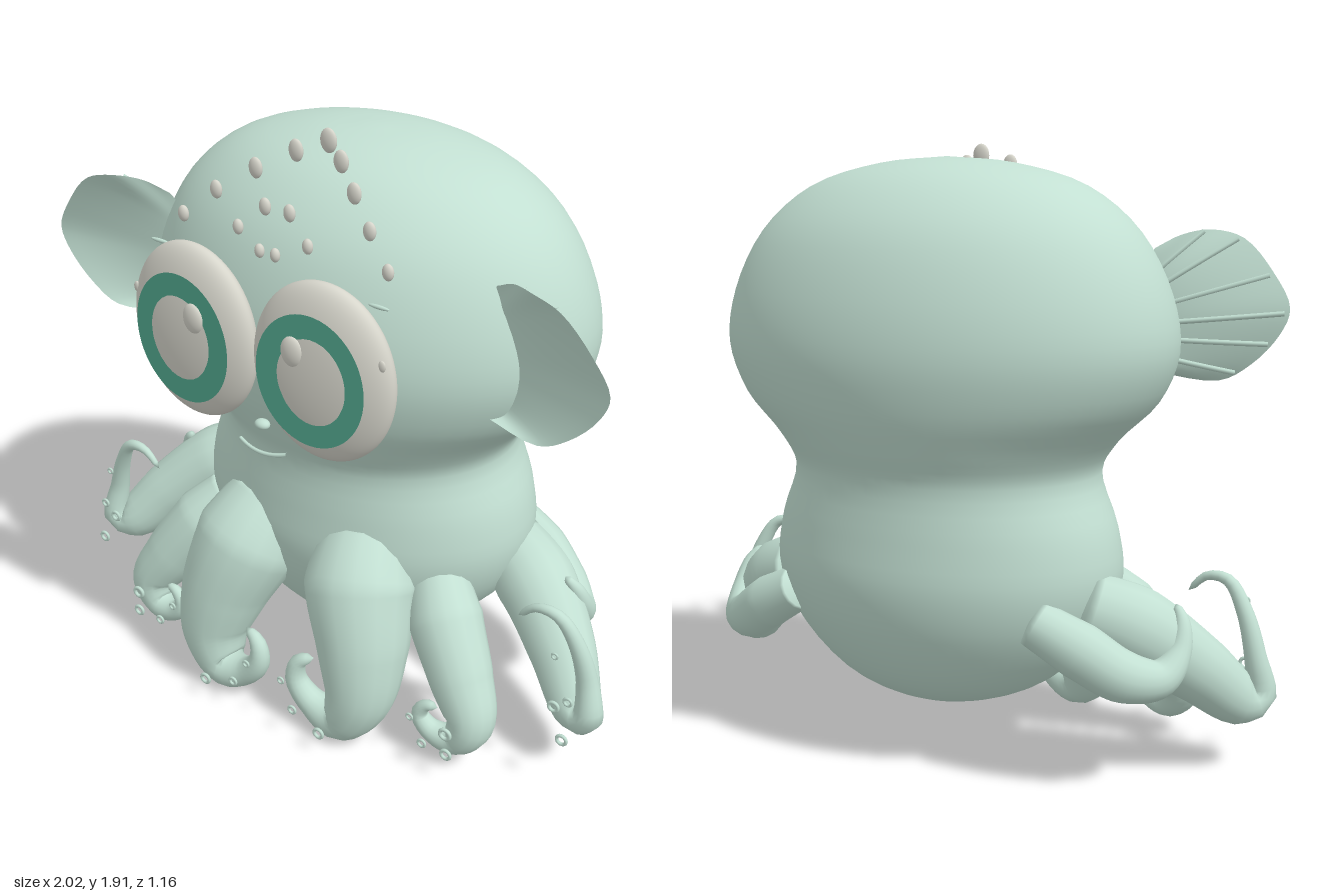
import * as THREE from 'three';
import { mergeVertices } from 'three/addons/utils/BufferGeometryUtils.js';

const skin = new THREE.MeshStandardMaterial({ color: 0xc2dfd2 });
skin.name = 'pale green skin';
const finSkin = new THREE.MeshStandardMaterial({ color: 0xc2dfd2, side: THREE.DoubleSide });
finSkin.name = 'pale green fin';
const pearl = new THREE.MeshStandardMaterial({ color: 0xd6d5cb });
pearl.name = 'warm grey';
const teal = new THREE.MeshStandardMaterial({ color: 0x52a68d });
teal.name = 'teal iris';

const V = (x, y, z) => new THREE.Vector3(x, y, z);
const CENTRE = -0.012; // mirror plane of the face and limbs

function add(parent, name, geometry, material, x = 0, y = 0, z = 0) {
  const mesh = new THREE.Mesh(geometry, material);
  mesh.name = name;
  mesh.position.set(x, y, z);
  parent.add(mesh);
  return mesh;
}

function ellipsoid(parent, name, material, pos, rx, ry, rz) {
  const mesh = add(parent, name, new THREE.SphereGeometry(1, 20, 14), material, ...pos);
  mesh.scale.set(rx, ry, rz);
  return mesh;
}

// Weld seams after moving vertices, so the normals are smooth all round
function smooth(geometry) {
  geometry.deleteAttribute('uv');
  geometry.deleteAttribute('normal');
  const welded = mergeVertices(geometry, 1e-5);
  welded.computeVertexNormals();
  return welded;
}

// Head and body in one skin: elliptical sections [y, half width, half depth]
function bodyGeometry() {
  const profile = new THREE.CatmullRomCurve3([
    [1.875, 0, 0], [1.855, 0.22, 0.16], [1.785, 0.455, 0.31], [1.65, 0.62, 0.43], [1.465, 0.72, 0.498],
    [1.3, 0.745, 0.517], [1.15, 0.685, 0.495], [1.02, 0.555, 0.45], [0.92, 0.503, 0.41], [0.75, 0.562, 0.415],
    [0.6, 0.582, 0.42], [0.45, 0.535, 0.385], [0.27, 0.37, 0.28], [0.18, 0.17, 0.14], [0.16, 0, 0],
  ].map(([y, rx, rz]) => V(rx, y, rz)));
  const g = new THREE.SphereGeometry(1, 64, 56);
  const p = g.attributes.position, uv = g.attributes.uv;
  for (let i = 0; i < p.count; i++) {
    const s = profile.getPoint(1 - uv.getY(i));
    const a = uv.getX(i) * Math.PI * 2;
    p.setXYZ(i, -Math.cos(a) * s.x, s.y, Math.sin(a) * s.z - 0.06);
  }
  return smooth(g);
}

// Tapered tube through points [x, y, z, radius], closed at both ends
function limbGeometry(points, side) {
  const curve = new THREE.CatmullRomCurve3(points.map(([x, y, z]) => V(side * x + CENTRE, y, z)));
  const rows = 48, sides = 16;
  const g = new THREE.TubeGeometry(curve, rows, 1, sides);
  const p = g.attributes.position, v = V();
  for (let i = 0; i < p.count; i++) {
    const row = Math.floor(i / (sides + 1)), u = row / rows;
    const k = curve.getUtoTmapping(u) * (points.length - 1);
    const a = Math.min(Math.floor(k), points.length - 2);
    const r = row === 0 || row === rows ? 0 : THREE.MathUtils.lerp(points[a][3], points[a + 1][3], k - a);
    const c = curve.getPointAt(u);
    v.fromBufferAttribute(p, i).sub(c).multiplyScalar(r).add(c);
    p.setXYZ(i, v.x, v.y, v.z);
  }
  return smooth(g);
}

const TENTACLES = {
  frontTentacle: [[0.18, 0.67, 0.2, 0.135], [0.22, 0.52, 0.305, 0.18], [0.275, 0.34, 0.375, 0.148], [0.29, 0.18, 0.42, 0.112],
    [0.23, 0.075, 0.445, 0.073], [0.135, 0.1, 0.455, 0.047], [0.075, 0.175, 0.46, 0.036], [0.085, 0.245, 0.455, 0.026], [0.135, 0.275, 0.445, 0.012]],
  middleTentacle: [[0.4, 0.55, 0.14, 0.09], [0.48, 0.44, 0.215, 0.118], [0.58, 0.3, 0.28, 0.102], [0.645, 0.18, 0.325, 0.078],
    [0.6, 0.105, 0.345, 0.052], [0.525, 0.115, 0.36, 0.036], [0.485, 0.165, 0.365, 0.027], [0.51, 0.21, 0.365, 0.019], [0.55, 0.22, 0.365, 0.01]],
  sideTentacle: [[0.48, 0.54, -0.14, 0.115], [0.64, 0.475, -0.07, 0.13], [0.8, 0.345, 0.035, 0.107], [0.91, 0.235, 0.13, 0.08],
    [0.96, 0.24, 0.165, 0.05], [0.945, 0.37, 0.155, 0.034], [0.905, 0.5, 0.165, 0.026], [0.845, 0.59, 0.18, 0.019],
    [0.775, 0.595, 0.185, 0.014], [0.715, 0.54, 0.185, 0.009]],
  backTentacle: [[0.4, 0.53, -0.31, 0.07], [0.55, 0.45, -0.28, 0.085], [0.67, 0.375, -0.23, 0.078], [0.755, 0.365, -0.16, 0.058],
    [0.79, 0.43, -0.1, 0.038], [0.785, 0.51, -0.062, 0.024], [0.755, 0.56, -0.04, 0.01]],
};

// Sucker rings [x, y, z, radius]
const SUCKERS = [
  [0.23, 0.09, 0.555, 0.02], [0.12, 0.125, 0.545, 0.016], [0.07, 0.215, 0.535, 0.013],
  [0.62, 0.2, 0.435, 0.022], [0.625, 0.12, 0.435, 0.02], [0.535, 0.115, 0.43, 0.016], [0.482, 0.19, 0.42, 0.013],
  [0.93, 0.215, 0.27, 0.02], [0.885, 0.31, 0.25, 0.02], [0.93, 0.35, 0.25, 0.016], [0.88, 0.51, 0.26, 0.012],
];

// Freckles on the brow [x, y, z, half height]
const FRECKLES = [
  [0.078, 1.85, 0.195, 0.034], [0.17, 1.8, 0.265, 0.032], [0.265, 1.735, 0.33, 0.028], [0.355, 1.655, 0.375, 0.025],
  [0.042, 1.755, 0.39, 0.026], [0.12, 1.685, 0.415, 0.023], [0.027, 1.645, 0.44, 0.021],
];

// Cupped ear fin with ribs along its back
function ear(side) {
  const group = new THREE.Group();
  group.name = side > 0 ? 'leftEar' : 'rightEar';
  const rim = new THREE.CatmullRomCurve3([[0.58, 1.6, 0.18], [0.65, 1.64, 0.22], [0.73, 1.655, 0.27], [0.825, 1.63, 0.285],
    [0.92, 1.53, 0.28], [0.977, 1.425, 0.272], [0.95, 1.345, 0.268], [0.865, 1.25, 0.262], [0.77, 1.197, 0.255],
    [0.57, 1.215, 0.22]].map(e => V(...e)));
  const at = (u, v, back = 0) => {
    const e = rim.getPoint(u);
    return V(side * THREE.MathUtils.lerp(0.56, e.x, v) + CENTRE, THREE.MathUtils.lerp(1.57 - 0.35 * u, e.y, v),
      THREE.MathUtils.lerp(0.17, e.z, v ** 1.4) - back);
  };
  const g = new THREE.PlaneGeometry(1, 1, 36, 10);
  const p = g.attributes.position;
  for (let i = 0; i < p.count; i++) p.setXYZ(i, ...at(p.getX(i) + 0.5, p.getY(i) + 0.5).toArray());
  g.computeVertexNormals();
  add(group, 'earFin', g, finSkin);
  for (let k = 0; k < 6; k++) {
    const u = 0.2 + k * 0.125;
    const path = new THREE.CatmullRomCurve3([0.1, 0.4, 0.7, 0.97].map(v => at(u, v, 0.01)));
    add(group, 'earRib', new THREE.TubeGeometry(path, 12, 0.008, 6), skin);
  }
  return group;
}

// Bulging eye pushing through a flat teal ring, with a raised highlight
function eye(side) {
  const group = new THREE.Group();
  group.name = side > 0 ? 'leftEye' : 'rightEye';
  group.position.set(side * 0.228 + CENTRE, 1.365, 0.495);
  group.rotation.y = side * 0.05;
  add(group, 'eyeball', new THREE.SphereGeometry(1, 64, 48), pearl).scale.set(0.228, 0.275, 0.078);
  const iris = add(group, 'iris', new THREE.RingGeometry(0.45, 0.75, 56), teal, -side * 0.006, 0, 0.0684);
  iris.scale.set(0.233, 0.27, 1);
  ellipsoid(group, 'eyeHighlight', pearl, [-side * 0.058, 0.08, 0.067], 0.037, 0.047, 0.018);
  ellipsoid(group, 'eyeFleck', pearl, [side * 0.2, 0.09, 0.028], 0.012, 0.017, 0.006);
  return group;
}

export function createModel() {
  const model = new THREE.Group();
  model.name = 'octopus';
  add(model, 'body', bodyGeometry(), skin);

  for (const side of [1, -1]) {
    for (const [name, points] of Object.entries(TENTACLES)) add(model, name, limbGeometry(points, side), skin);
    for (const [x, y, z, r] of SUCKERS)
      add(model, 'sucker', new THREE.TorusGeometry(r * 0.8, r * 0.28, 8, 18), skin, side * x + CENTRE, y, z);
    for (const [x, y, z, h] of FRECKLES)
      ellipsoid(model, 'freckle', pearl, [side * x + CENTRE, y, z], h * 0.72, h, 0.013);
    ellipsoid(model, 'eyebrow', skin, [side * 0.38 + CENTRE, 1.592, 0.455], 0.034, 0.006, 0.006);
    model.add(ear(side), eye(side));
  }
  ellipsoid(model, 'topFreckle', pearl, [CENTRE, 1.88, 0.145], 0.028, 0.037, 0.013);

  // Small nose and smile
  ellipsoid(model, 'nose', skin, [CENTRE, 1.12, 0.49], 0.025, 0.016, 0.02);
  const smile = new THREE.QuadraticBezierCurve3(V(-0.085, 1.045, 0.49), V(0, 1.015, 0.515), V(0.085, 1.045, 0.49));
  add(model, 'mouth', new THREE.TubeGeometry(smile, 20, 0.006, 6), skin, CENTRE);
  return model;
}
